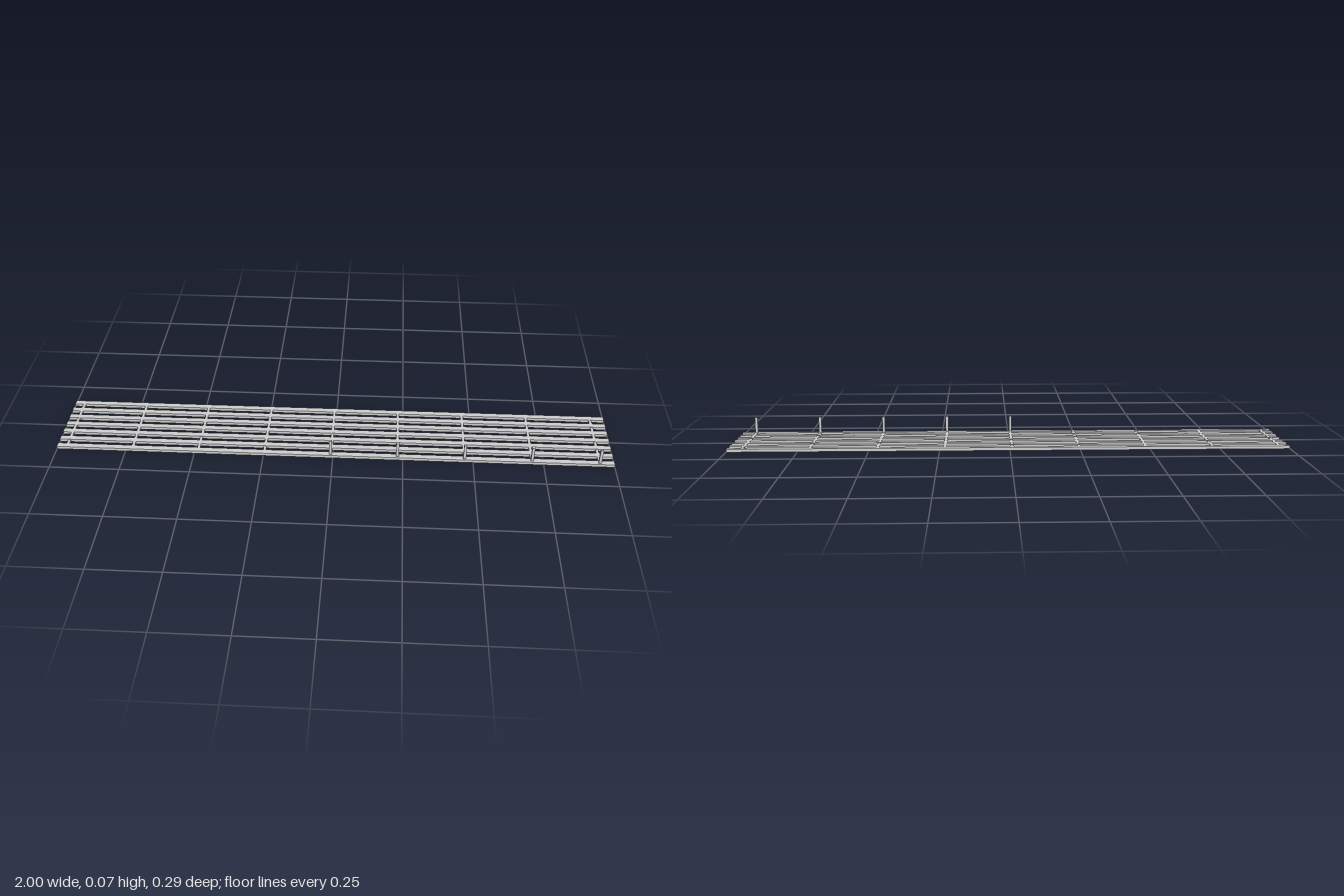
import * as THREE from 'three';

export function createModel() {
  const group = new THREE.Group();
  const material = new THREE.MeshStandardMaterial({ color: 0xcccccc, flatShading: true });

  // Box placed by its centre in x and z and by its bottom and top in y
  function addBox(name, width, depth, x, bottom, top, z) {
    const mesh = new THREE.Mesh(new THREE.BoxGeometry(width, top - bottom, depth), material);
    mesh.name = name;
    mesh.position.set(x, (bottom + top) / 2, z);
    group.add(mesh);
  }

  // Seven long slats
  const slatWidth = 0.022, slatHeight = 0.011, pitch = 0.0444;
  for (let i = -3; i <= 3; i++) {
    addBox('slat', 2, slatWidth, 0, 0, slatHeight, i * pitch);
  }

  // Nine rows of short spacers bridging the gaps between slats
  const spacing = 0.239, firstX = -0.964;
  for (let row = 0; row < 9; row++) {
    const x = firstX + row * spacing;
    for (let gap = -2.5; gap <= 2.5; gap++) {
      addBox('spacer', 0.01, pitch - slatWidth, x, 0.003, 0.0105, gap * pitch);
    }
    // Upright pins on the front slat, along the left half only
    if (row >= 4) addBox('pin', 0.01, 0.01, x, slatHeight, 0.069, 3 * pitch);
  }

  return group;
}
